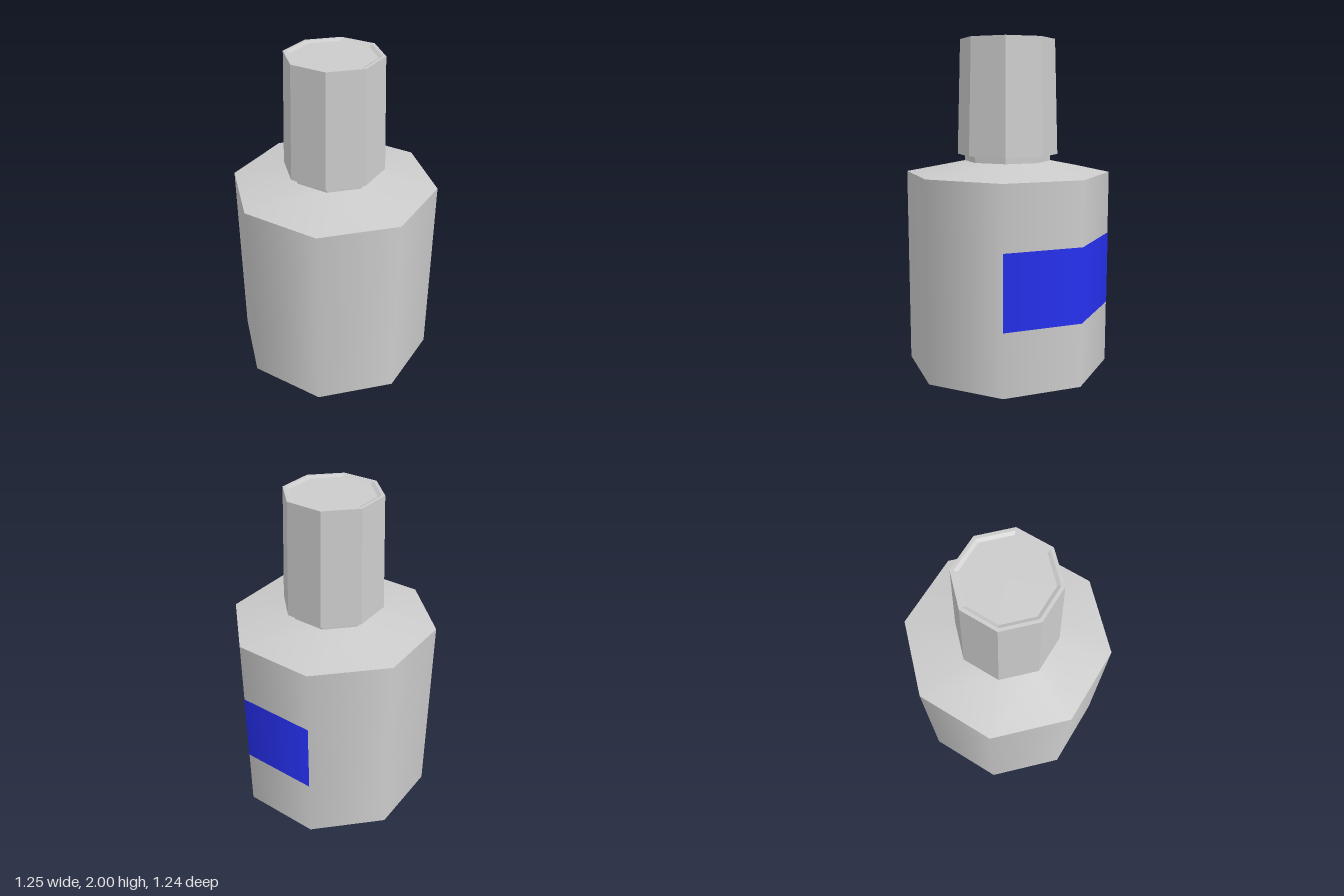
import * as THREE from 'three';

const SIDES = 8;

export function createModel() {
  const group = new THREE.Group();
  const smooth = new THREE.MeshStandardMaterial({ color: 0xcccccc });
  const faceted = new THREE.MeshStandardMaterial({ color: 0xcccccc, flatShading: true });
  const blue = new THREE.MeshStandardMaterial({ color: 0x2630f0 });

  const add = (name, geometry, material) => {
    const mesh = new THREE.Mesh(geometry, material);
    mesh.name = name;
    group.add(mesh);
  };
  // Eight-sided ring or prism between two heights, corners on the x and z axes
  const prism = (rTop, rBottom, y0, y1, open = true) =>
    new THREE.CylinderGeometry(rTop, rBottom, y1 - y0, SIDES, 1, open).translate(0, (y0 + y1) / 2, 0);

  // Bottle: body, sloping shoulder and short neck
  add('body', prism(0.622, 0.622, 0, 1.203, false), smooth);
  add('shoulder', prism(0.262, 0.622, 1.203, 1.272), smooth);
  add('neck', prism(0.262, 0.262, 1.272, 1.312), faceted);

  // Tapered cap with a thin rim around a shallow recessed top
  const capProfile = [
    [0.262, 1.312], [0.306, 1.312], [0.285, 2], [0.265, 2], [0.245, 1.99], [0, 1.99],
  ].map(([r, y]) => new THREE.Vector2(r, y));
  add('cap', new THREE.LatheGeometry(capProfile, SIDES), faceted);

  // Label wrapped over the two faces on the left side
  const label = new THREE.CylinderGeometry(0.624, 0.624, 0.445, 2, 1, true, Math.PI / 4, Math.PI / 2);
  add('label', label.translate(0, 0.603, 0), blue);

  return group;
}
